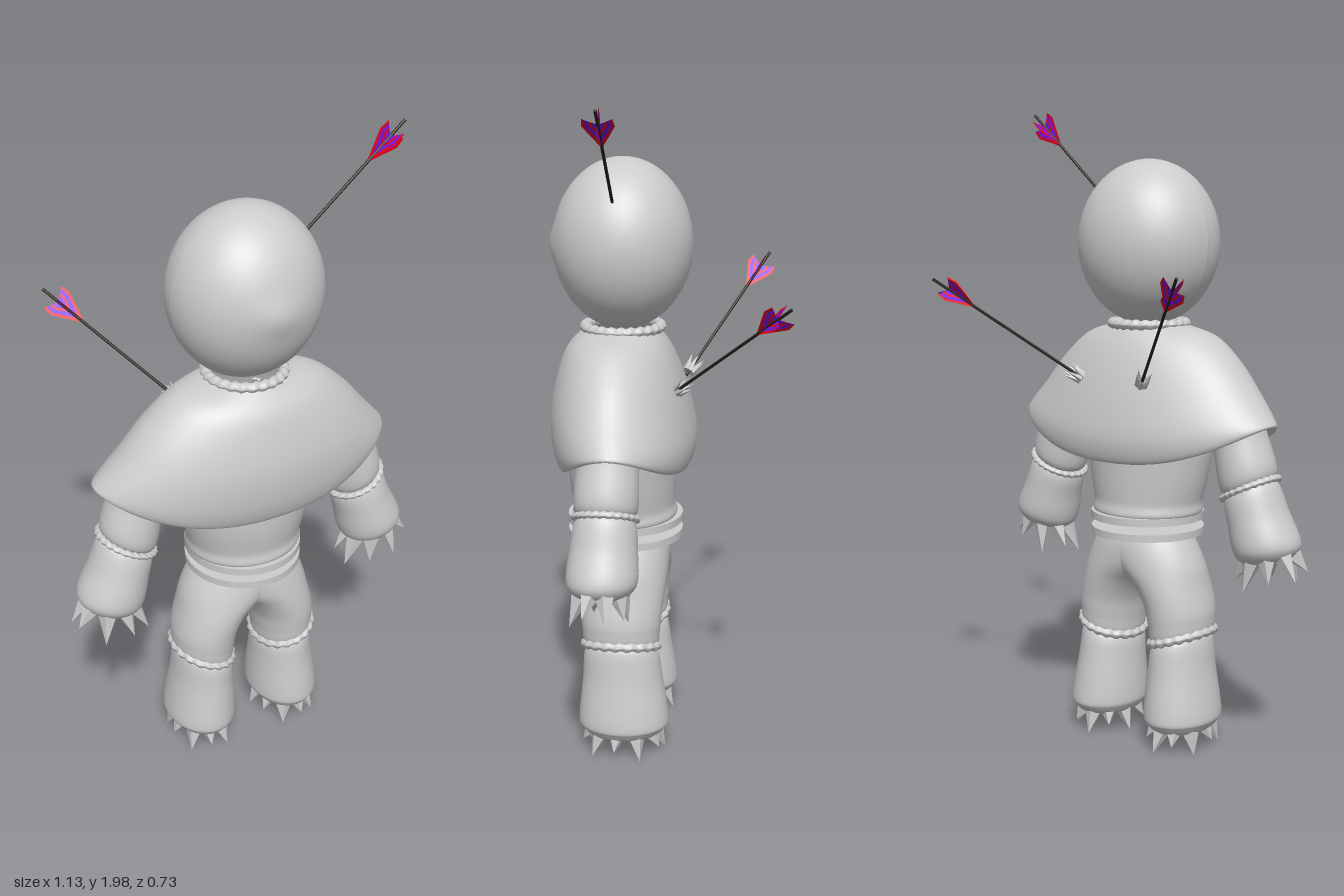
import * as THREE from 'three';

const mat = (name, color, side = THREE.FrontSide) => {
  const m = new THREE.MeshStandardMaterial({ color, side });
  m.name = name;
  return m;
};

const TAU = Math.PI * 2;

// Catmull-Rom blend through rows of numbers, t in 0..1
function sample(keys, t) {
  const n = keys.length - 1, f = Math.min(t * n, n - 1e-6), i = Math.floor(f), u = f - i;
  const at = k => keys[Math.max(0, Math.min(n, k))];
  const [a, b, c, d] = [at(i - 1), at(i), at(i + 1), at(i + 2)];
  return b.map((_, k) => b[k] + 0.5 * u * (c[k] - a[k] + u * (2 * a[k] - 5 * b[k] + 4 * c[k] - d[k]
    + u * (3 * (b[k] - c[k]) + d[k] - a[k]))));
}

// Surface of closed rings: fn(angle, v) gives a point, v runs downwards
function rings(fn, nu, nv) {
  const pos = [], idx = [];
  for (let j = 0; j <= nv; j++)
    for (let i = 0; i < nu; i++) pos.push(...fn(i / nu * TAU, j / nv));
  for (let j = 0; j < nv; j++)
    for (let i = 0; i < nu; i++) {
      const a = j * nu + i, b = j * nu + (i + 1) % nu;
      idx.push(a, b, a + nu, b, b + nu, a + nu);
    }
  const g = new THREE.BufferGeometry();
  g.setAttribute('position', new THREE.Float32BufferAttribute(pos, 3));
  g.setIndex(idx);
  g.computeVertexNormals();
  return g;
}

// Limb or trunk; each key is [x, y, z, radiusX, radiusZ, tilt]
const loft = (keys, nu = 40, nv = 32) => rings((a, v) => {
  const [x, y, z, rx, rz, tilt] = sample(keys, v);
  return [x + rx * Math.cos(a), y + tilt * Math.cos(a), z + rz * Math.sin(a)];
}, nu, nv);

// Twisted cord around a limb
const rope = ([x, y, z, rx, rz, tilt], r, twists) => rings((a, v) => {
  const b = -v * TAU, q = r * (1 + 0.16 * Math.cos(twists * a + b)), out = q * Math.cos(b);
  return [x + (rx + out) * Math.cos(a), y + tilt * Math.cos(a) + q * Math.sin(b), z + (rz + out) * Math.sin(a)];
}, twists * 6, 10);

export function createModel() {
  const cloth = mat('grey cloth', 0xcccccc, THREE.DoubleSide);
  const wood = mat('dark wood', 0x2a2119);
  const red = mat('red feather', 0xe6001c, THREE.DoubleSide);
  const purple = mat('purple feather', 0x7a14e6, THREE.DoubleSide);

  const root = new THREE.Group();
  root.name = 'ragDoll';
  const add = (parent, name, geo, material = cloth) => {
    const m = new THREE.Mesh(geo, material);
    m.name = name;
    parent.add(m);
    return m;
  };
  const V = (x, y, z) => new THREE.Vector3(x, y, z);
  const spike = (parent, name, base, tip, r) => {
    const dir = tip.clone().sub(base), len = dir.length();
    const g = new THREE.ConeGeometry(r, len, 5).toNonIndexed();
    g.translate(0, len / 2, 0);
    g.computeVertexNormals();
    const m = add(parent, name, g);
    m.position.copy(base);
    m.quaternion.setFromUnitVectors(V(0, 1, 0), dir.normalize());
  };

  // Head with a soft bump for the nose
  const head = new THREE.SphereGeometry(1, 48, 36);
  const p = head.attributes.position;
  for (let i = 0; i < p.count; i++) {
    const x = p.getX(i) * 0.227, y = p.getY(i) * 0.252, z = p.getZ(i) * 0.207;
    const bump = z > 0 ? 0.013 * Math.exp(-(x * x) / 0.005 - (y * y) / 0.0022) : 0;
    p.setXYZ(i, x, y + 1.584, z + 0.147 + bump);
  }
  head.computeVertexNormals();
  add(root, 'head', head);
  add(root, 'neckRope', rope([0, 1.336, 0.15, 0.113, 0.113, 0], 0.015, 24));

  // Cape: [half width, side y, front z, back z, middle y], ending under the hem
  const cape = [
    [0.11, 1.335, 0.26, 0.05, 1.335], [0.225, 1.307, 0.315, 0.01, 1.28], [0.32, 1.232, 0.345, -0.025, 1.2],
    [0.395, 1.145, 0.363, -0.055, 1.1], [0.455, 1.078, 0.357, -0.073, 1.0], [0.472, 1.053, 0.335, -0.06, 0.93],
    [0.43, 1.05, 0.315, -0.035, 0.93], [0.2, 1.06, 0.28, 0.02, 0.98],
  ];
  add(root, 'cape', rings((a, v) => {
    const [w, ySide, zf, zb, yMid] = sample(cape, v);
    const c = Math.cos(a);
    return [w * c, yMid + (ySide - yMid) * Math.abs(c) ** 2.4, (zf + zb) / 2 + (zf - zb) / 2 * Math.sin(a)];
  }, 64, 40));

  // Trunk and belt bands
  add(root, 'torso', loft([
    [0, 1.1, 0.15, 0.2, 0.15, 0], [0, 0.98, 0.155, 0.212, 0.165, 0], [0, 0.88, 0.155, 0.2, 0.165, 0],
    [0, 0.79, 0.15, 0.18, 0.157, 0], [0, 0.74, 0.148, 0.165, 0.15, 0], [0, 0.715, 0.148, 0.01, 0.01, 0],
  ]));
  for (const y of [0.738, 0.69]) {
    const band = new THREE.CylinderGeometry(0.178, 0.178, 0.023, 48);
    add(root, 'beltBand', band).position.set(0, y, 0.147);
  }

  // Limbs, made once for the left and mirrored
  for (const side of [1, -1]) {
    const limbs = new THREE.Group();
    limbs.name = side > 0 ? 'leftLimbs' : 'rightLimbs';
    limbs.scale.x = side;
    root.add(limbs);

    // The two trouser legs overlap at the hips and part at the crotch
    add(limbs, 'trouserLeg', loft([
      [0, 0.695, 0.14, 0.152, 0.12, 0], [0.018, 0.645, 0.14, 0.162, 0.13, 0], [0.052, 0.59, 0.142, 0.152, 0.133, 0],
      [0.1, 0.53, 0.145, 0.118, 0.13, 0], [0.13, 0.465, 0.147, 0.102, 0.125, 0.005], [0.14, 0.41, 0.147, 0.096, 0.12, 0.02],
      [0.142, 0.36, 0.147, 0.086, 0.108, 0.026], [0.142, 0.35, 0.147, 0.03, 0.04, 0.01],
    ], 40, 40));
    add(limbs, 'kneeRope', rope([0.142, 0.362, 0.147, 0.087, 0.11, 0.028], 0.015, 20));
    add(limbs, 'shin', loft([
      [0.14, 0.37, 0.147, 0.05, 0.07, 0.02], [0.14, 0.345, 0.147, 0.085, 0.112, 0.024], [0.143, 0.25, 0.143, 0.097, 0.125, 0.01],
      [0.15, 0.13, 0.14, 0.111, 0.14, 0], [0.15, 0.098, 0.14, 0.104, 0.134, 0],
      [0.15, 0.07, 0.142, 0.075, 0.1, 0], [0.15, 0.065, 0.142, 0.005, 0.01, 0],
    ]));
    // Ragged toes
    for (let i = 0; i < 10; i++) {
      const a = (i + 0.25) / 10 * TAU, c = Math.cos(a), s = Math.sin(a);
      spike(limbs, 'toeSpike', V(0.15 + 0.062 * c, 0.1, 0.14 + 0.088 * s),
        V(0.15 + 0.102 * c, i % 2 ? 0.012 : 0.042, 0.14 + 0.13 * s), 0.038);
    }

    add(limbs, 'upperArm', loft([
      [0.28, 1.14, 0.15, 0.05, 0.06, 0.03], [0.32, 1.07, 0.15, 0.075, 0.085, 0.03], [0.352, 0.99, 0.153, 0.077, 0.09, 0.03],
      [0.383, 0.875, 0.155, 0.079, 0.088, 0.037], [0.387, 0.855, 0.155, 0.02, 0.03, 0.01],
    ]));
    add(limbs, 'elbowRope', rope([0.387, 0.86, 0.155, 0.079, 0.088, 0.039], 0.01, 24));
    add(limbs, 'forearm', loft([
      [0.385, 0.87, 0.155, 0.04, 0.05, 0.02], [0.39, 0.85, 0.155, 0.076, 0.086, 0.037], [0.417, 0.77, 0.158, 0.088, 0.098, 0.03],
      [0.443, 0.7, 0.16, 0.101, 0.103, 0.022], [0.45, 0.665, 0.162, 0.092, 0.09, 0.02],
      [0.452, 0.645, 0.163, 0.06, 0.06, 0.012], [0.452, 0.64, 0.163, 0.005, 0.005, 0],
    ]));
    // Ragged fingers
    for (let i = 0; i < 8; i++) {
      const a = (i + 0.5) / 8 * TAU, c = Math.cos(a), s = Math.sin(a);
      spike(limbs, 'fingerSpike', V(0.452 + 0.055 * c, 0.68 + 0.015 * c, 0.162 + 0.05 * s),
        V(0.455 + 0.12 * c, (i % 2 ? 0.552 : 0.575) + 0.055 * Math.max(0, c), 0.168 + 0.085 * s), 0.038);
    }
  }

  // Feather bands as [distance from tail, radius] outlines, from the rim inwards
  const feather = [
    [red, [[-0.15, 0.003], [-0.065, 0.044], [-0.035, 0.04], [-0.04, 0.033], [-0.066, 0.035], [-0.128, 0.003]]],
    [purple, [[-0.128, 0.003], [-0.066, 0.035], [-0.04, 0.033], [-0.046, 0.023], [-0.067, 0.023], [-0.1, 0.003]]],
    [red, [[-0.1, 0.003], [-0.067, 0.023], [-0.046, 0.023], [-0.05, 0.016], [-0.068, 0.015], [-0.085, 0.003]]],
    [purple, [[-0.085, 0.003], [-0.068, 0.015], [-0.05, 0.016], [-0.057, 0.003]]],
  ].map(([m, pts]) => [m, new THREE.ShapeGeometry(new THREE.Shape(pts.map(([s, r]) => new THREE.Vector2(r, s))))]);

  // Arrows: entry point, tail point, torn cloth at the entry
  const arrows = [
    [V(0.17, 1.71, 0.153), V(0.485, 1.99, 0.153), false],
    [V(0.14, 1.185, -0.04), V(0.43, 1.475, -0.355), true],
    [V(-0.14, 1.185, -0.05), V(-0.44, 1.495, -0.275), true],
  ];
  for (const [from, to, torn] of arrows) {
    const arrow = new THREE.Group();
    arrow.name = 'arrow';
    const dir = to.clone().sub(from), len = dir.length();
    arrow.position.copy(to);
    arrow.quaternion.setFromUnitVectors(V(0, 1, 0), dir.normalize());
    root.add(arrow);
    add(arrow, 'shaft', new THREE.CylinderGeometry(0.0045, 0.0045, len + 0.04, 8), wood).position.y = -(len + 0.04) / 2;
    for (let k = 0; k < 4; k++) {
      const vane = new THREE.Group();
      vane.name = 'feather';
      vane.rotation.y = k * Math.PI / 2;
      arrow.add(vane);
      feather.forEach(([m, g]) => add(vane, 'featherBand', g, m));
    }
    // Torn cloth round the entry
    if (torn) for (let k = 0; k < 6; k++) {
      const a = k / 6 * TAU, c = Math.cos(a), s = Math.sin(a);
      spike(arrow, 'tornCloth', V(0.01 * c, -len - 0.025, 0.01 * s), V(0.024 * c, -len + 0.028, 0.024 * s), 0.011);
    }
  }
  return root;
}
